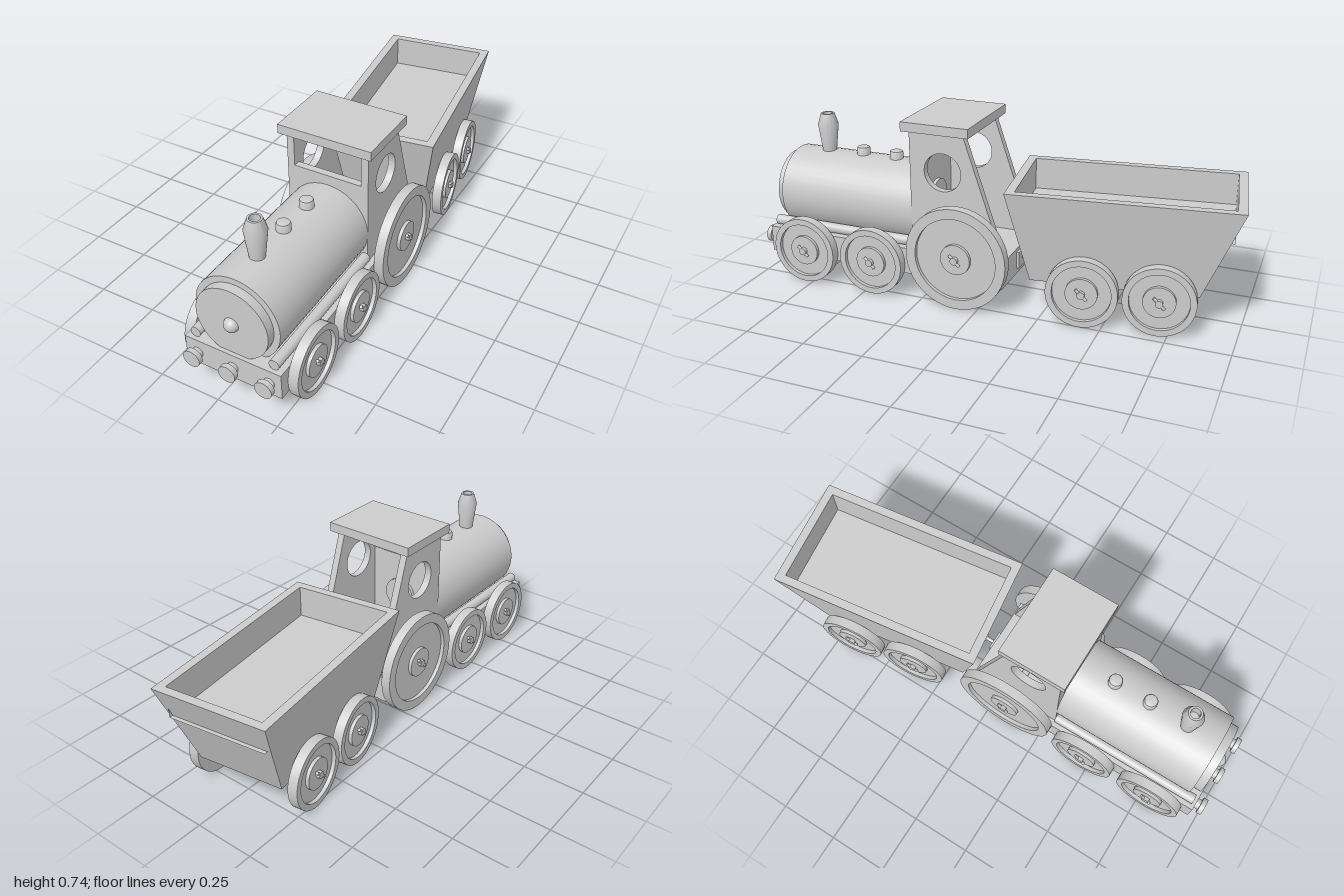
import * as THREE from 'three';
import { toCreasedNormals } from 'three/addons/utils/BufferGeometryUtils.js';

const grey = new THREE.MeshStandardMaterial({ color: 0xcccccc });

function add(parent, name, geometry, x = 0, y = 0, z = 0) {
  const mesh = new THREE.Mesh(geometry, grey);
  mesh.name = name;
  mesh.position.set(x, y, z);
  parent.add(mesh);
  return mesh;
}

const box = (w, h, d) => new THREE.BoxGeometry(w, h, d);
const rodY = (r, h) => new THREE.CylinderGeometry(r, r, h, 40);
const rodX = (r, l) => rodY(r, l).rotateZ(Math.PI / 2);
const rodZ = (r, l) => rodY(r, l).rotateX(Math.PI / 2);

// Turned part with crisp edges, from [radius, height] pairs
function turned(points) {
  const lathe = new THREE.LatheGeometry(points.map(p => new THREE.Vector2(...p)), 48);
  return toCreasedNormals(lathe, 0.5);
}

// Wheel facing +x, inner face at x = 0, with recessed web, hub and pinned axle end
function makeWheel(name, R, rimInner) {
  const wheel = new THREE.Group();
  wheel.name = name;
  const w = 0.04;
  add(wheel, 'wheelDisc', turned([
    [0, 0], [R, 0], [R, w], [rimInner, w], [rimInner, w - 0.016],
    [0.063, w - 0.016], [0.063, w - 0.002], [0, w - 0.002],
  ]).rotateZ(-Math.PI / 2));
  add(wheel, 'axleEnd', rodX(0.015, 0.03), 0.038);
  const peg = add(wheel, 'axlePeg', rodY(0.006, 0.06), 0.046);
  peg.rotation.x = Math.PI / 4;
  return wheel;
}

// Matching left and right wheels on one axle
function addWheelPair(parent, name, R, rimInner, z) {
  for (const side of [1, -1]) {
    const wheel = makeWheel(name, R, rimInner);
    wheel.position.set(side * 0.2, R, z);
    if (side < 0) wheel.rotation.y = Math.PI;
    parent.add(wheel);
  }
  add(parent, 'axle', rodX(0.015, 0.4), 0, R, z);
}

// Flat-faced solid through rectangular rings [halfWidth, y, backZ, frontZ]
function ringSolid(rings) {
  const corners = rings.map(([w, y, b, f]) => [[w, y, f], [w, y, b], [-w, y, b], [-w, y, f]]);
  const pos = [];
  const quad = (a, b, c, d) => pos.push(...a, ...b, ...c, ...a, ...c, ...d);
  quad(...[...corners[0]].reverse());
  for (let k = 0; k < corners.length - 1; k++) {
    for (let i = 0; i < 4; i++) {
      const j = (i + 1) % 4;
      quad(corners[k][i], corners[k][j], corners[k + 1][j], corners[k + 1][i]);
    }
  }
  quad(...corners[corners.length - 1]);
  const geometry = new THREE.BufferGeometry();
  geometry.setAttribute('position', new THREE.Float32BufferAttribute(pos, 3));
  geometry.computeVertexNormals();
  return geometry;
}

function makeEngine() {
  const engine = new THREE.Group();
  engine.name = 'engine';

  // Chassis, front beam and buffers
  add(engine, 'chassis', box(0.4, 0.11, 1.06), 0, 0.155, 0.43);
  for (const x of [-0.15, 0, 0.15]) {
    add(engine, 'bufferStem', rodZ(0.022, 0.03), x, 0.153, 0.968);
    add(engine, 'buffer', rodZ(0.035, 0.02), x, 0.153, 0.99);
  }

  // Boiler, door and side pipes
  add(engine, 'boiler', rodZ(0.173, 0.61), 0, 0.345, 0.605);
  add(engine, 'boilerDoor', rodZ(0.148, 0.05), 0, 0.345, 0.92);
  add(engine, 'doorKnob', new THREE.SphereGeometry(0.029, 32, 20), 0, 0.343, 0.943);
  for (const s of [1, -1]) add(engine, 'sidePipe', rodZ(0.021, 0.645), s * 0.163, 0.231, 0.622);

  // Chimney and domes
  add(engine, 'chimney', turned([
    [0, 0.49], [0.026, 0.49], [0.043, 0.63], [0.028, 0.678], [0.02, 0.678], [0.02, 0.63], [0, 0.63],
  ]), 0, 0, 0.77);
  for (const z of [0.45, 0.605]) {
    add(engine, 'dome', turned([
      [0, 0.49], [0.028, 0.49], [0.028, 0.542], [0.025, 0.549], [0.02, 0.551], [0, 0.551],
    ]), 0, 0, z);
  }

  // Cab sides with round windows and sloping rear edge
  const side = new THREE.Shape();
  side.moveTo(-0.095, 0.21);
  side.lineTo(0.3, 0.21);
  side.lineTo(0.3, 0.7);
  side.lineTo(0.07, 0.7);
  side.closePath();
  side.holes.push(new THREE.Path().absarc(0.16, 0.545, 0.078, 0, Math.PI * 2, true));
  const sideGeometry = toCreasedNormals(
    new THREE.ExtrudeGeometry(side, { depth: 0.03, bevelEnabled: false, curveSegments: 40 }), 0.5
  ).rotateY(-Math.PI / 2);
  add(engine, 'cabSide', sideGeometry, 0.173);
  add(engine, 'cabSide', sideGeometry, -0.143);
  add(engine, 'cabFront', box(0.29, 0.35, 0.03), 0, 0.385, 0.285);
  add(engine, 'fireDoor', rodZ(0.07, 0.02), 0, 0.38, 0.265);
  add(engine, 'cabRoof', box(0.392, 0.038, 0.285), 0, 0.721, 0.183);

  // Wheels
  addWheelPair(engine, 'drivingWheel', 0.213, 0.172, 0.085);
  for (const z of [0.465, 0.78]) addWheelPair(engine, 'smallWheel', 0.14, 0.115, z);

  // Rear coupling
  add(engine, 'couplingPlate', box(0.08, 0.07, 0.012), 0, 0.16, -0.105);
  add(engine, 'couplingBar', rodZ(0.008, 0.09), 0, 0.163, -0.145);
  add(engine, 'couplingRing', new THREE.TorusGeometry(0.016, 0.006, 12, 24).rotateX(Math.PI / 2), 0, 0.163, -0.165);

  engine.position.x = 0.05;
  return engine;
}

function makeTender() {
  const tender = new THREE.Group();
  tender.name = 'tender';

  // Flared open hopper with a shallow straight-walled bed
  add(tender, 'hopper', ringSolid([
    [0.18, 0.15, -0.3, 0.352],
    [0.237, 0.52, -0.444, 0.444],
    [0.202, 0.52, -0.409, 0.409],
    [0.202, 0.39, -0.409, 0.409],
  ]));
  for (const z of [-0.155, 0.14]) addWheelPair(tender, 'tenderWheel', 0.14, 0.115, z);

  // Slightly turned, as on a bend
  tender.position.set(-0.006, 0, -0.528);
  tender.rotation.y = THREE.MathUtils.degToRad(7.9);
  return tender;
}

export function createModel() {
  const model = new THREE.Group();
  model.name = 'toyTrain';
  model.add(makeEngine(), makeTender());
  return model;
}
